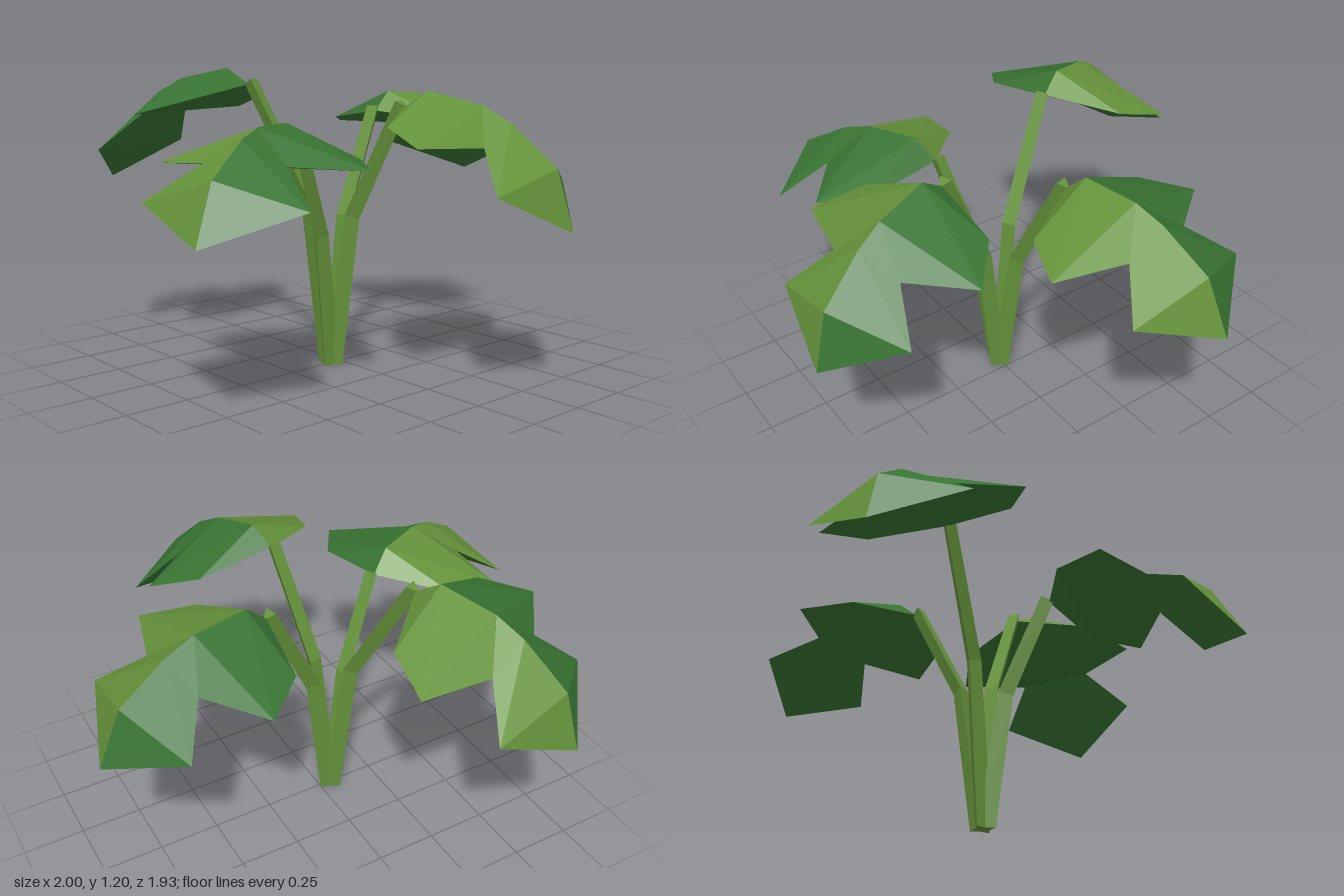
import * as THREE from 'three';

const flat = (name, color) => {
  const m = new THREE.MeshStandardMaterial({ color, flatShading: true });
  m.name = name;
  return m;
};

// Half of a leaf: x is sideways, z runs from the stalk to the tip
const POINTS = {
  base: [0, 0, 0], crown: [0, 0.08, 0.09], mid: [0, 0.07, 0.316], waist: [0, 0.03, 0.437],
  bend: [0, -0.09, 0.64], tip: [0, -0.30, 0.743],
  shoulder: [0.296, -0.04, 0.105], lobe: [0.412, -0.068, 0.293],
  notch: [0.158, -0.055, 0.42], lowerLobe: [0.308, -0.182, 0.563],
};
const FACES = [
  ['base', 'crown', 'shoulder'], ['crown', 'lobe', 'shoulder'], ['crown', 'mid', 'lobe'],
  ['mid', 'notch', 'lobe'], ['mid', 'waist', 'notch'], ['waist', 'lowerLobe', 'notch'],
  ['waist', 'bend', 'lowerLobe'], ['bend', 'tip', 'lowerLobe'],
];
const RIM = ['base', 'shoulder', 'lobe', 'notch', 'lowerLobe', 'tip'];

const corner = (key, side) => {
  const [x, y, z] = POINTS[key];
  return [x * side, y, z];
};

function trianglesGeometry(corners) {
  const g = new THREE.BufferGeometry();
  g.setAttribute('position', new THREE.Float32BufferAttribute(corners.flat(), 3));
  g.computeVertexNormals();
  return g;
}

// Folded upper surface on one side of the midrib
function halfLeaf(side) {
  return trianglesGeometry(FACES.flatMap((face) =>
    (side > 0 ? face : [...face].reverse()).map((key) => corner(key, side))));
}

// Underside: flat strips running straight across between the rims
function undersideGeometry() {
  const corners = [];
  for (let i = 0; i < RIM.length - 1; i++) {
    const [a, b] = [RIM[i], RIM[i + 1]];
    if (b !== 'tip') corners.push(corner(a, -1), corner(b, 1), corner(b, -1));
    if (a !== 'base') corners.push(corner(a, -1), corner(a, 1), corner(b, 1));
  }
  return trianglesGeometry(corners);
}

// Bent three-sided stalk: the rings of a cylinder moved outwards and tilted
function stalkGeometry(reach, height) {
  const g = new THREE.CylinderGeometry(0.031, 0.04, 1, 3, 2);
  const rings = [
    { y: 0, z: 0.015, tilt: 0 },
    { y: height * 0.58, z: 0.1, tilt: 0.3 },
    { y: height, z: reach, tilt: 0.5 },
  ];
  const p = g.attributes.position;
  for (let i = 0; i < p.count; i++) {
    const r = rings[Math.round((p.getY(i) + 0.5) * 2)];
    const z = p.getZ(i);
    p.setXYZ(i, p.getX(i), r.y - z * r.tilt, r.z + z * (1 - r.tilt * 0.2));
  }
  g.computeVertexNormals();
  return g;
}

export function createModel() {
  const lightGreen = flat('light green', 0x64923a);
  const darkGreen = flat('dark green', 0x387332);
  const model = new THREE.Group();
  model.name = 'plant';

  const add = (parent, name, geometry, material) => {
    const mesh = new THREE.Mesh(geometry, material);
    mesh.name = name;
    parent.add(mesh);
    return mesh;
  };

  const darkHalf = halfLeaf(1);
  const lightHalf = halfLeaf(-1);
  const underside = undersideGeometry();
  const rootX = -0.05;

  // Leaf base position, tip position in plan, and downward pitch in degrees
  const leaves = [
    { name: 'left', base: [0.27, 1.02, -0.08], tip: [1.0, -0.22], pitch: 0 },
    { name: 'back', base: [-0.2, 1.133, -0.34], tip: [-0.49, -0.97], pitch: 8.5 },
    { name: 'front', base: [0.043, 1.055, 0.315], tip: [0.235, 0.97], pitch: 10 },
    { name: 'right', base: [-0.322, 0.923, 0.117], tip: [-1.0, 0.455], pitch: -2 },
  ];

  for (const { name, base: [x, y, z], tip, pitch } of leaves) {
    const reach = Math.hypot(x - rootX, z);
    const stalk = add(model, name + 'Stalk', stalkGeometry(reach - 0.01, y + 0.015), lightGreen);
    stalk.position.x = rootX;
    stalk.rotation.y = Math.atan2(x - rootX, z);

    const leaf = new THREE.Group();
    leaf.name = name + 'Leaf';
    leaf.position.set(x, y, z);
    leaf.rotation.order = 'YXZ';
    leaf.rotation.set(THREE.MathUtils.degToRad(pitch), Math.atan2(tip[0] - x, tip[1] - z), 0);
    add(leaf, 'darkHalf', darkHalf, darkGreen);
    add(leaf, 'lightHalf', lightHalf, lightGreen);
    add(leaf, 'underside', underside, darkGreen);
    model.add(leaf);
  }
  return model;
}
